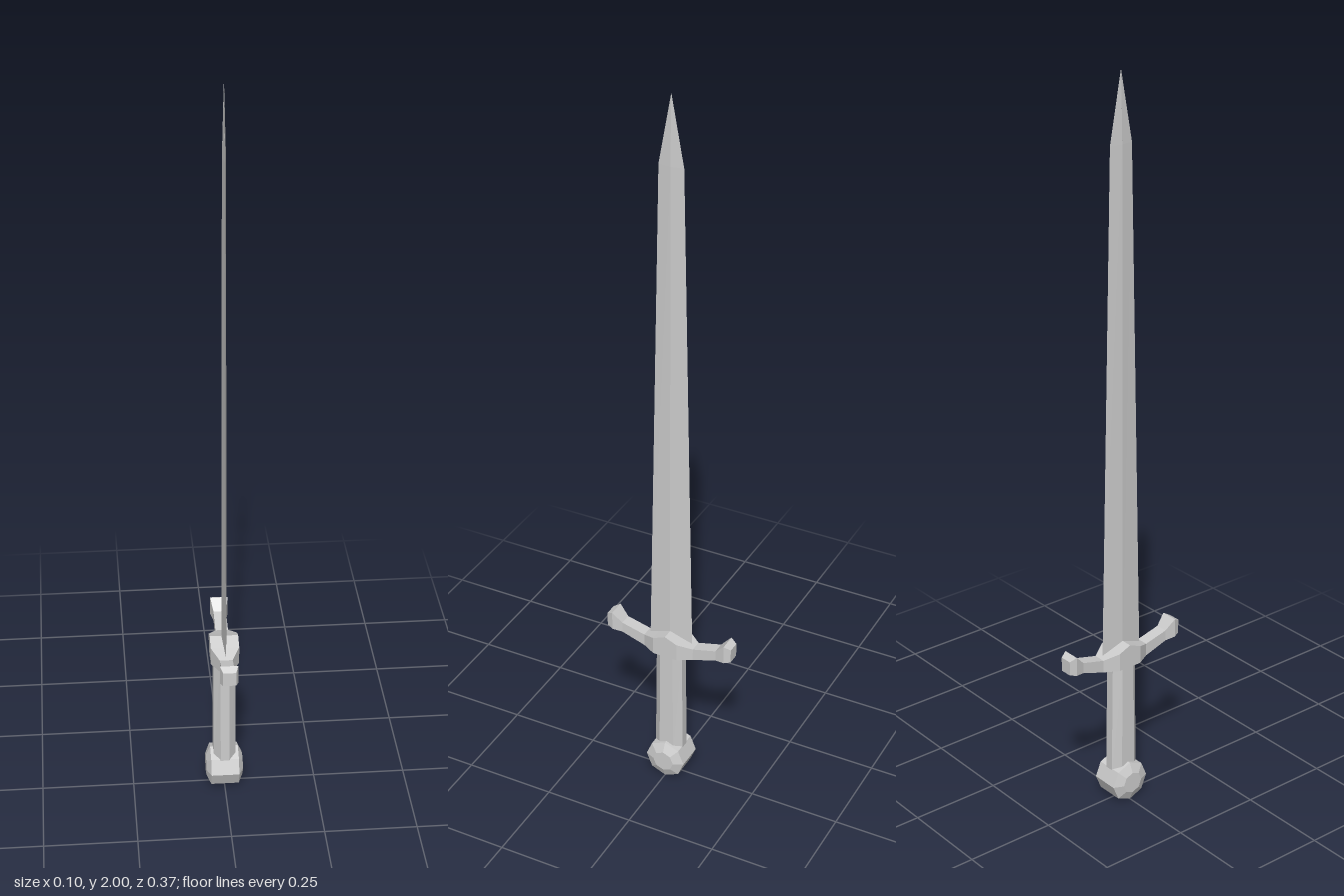
import * as THREE from 'three';

const material = new THREE.MeshStandardMaterial({ color: 0xcccccc, flatShading: true });

// Joins equal-sized rings of [x, y, z] points, each counter-clockwise about the loft direction, and caps both ends.
function loft(rings) {
  const n = rings[0].length, pos = [];
  const tri = (a, b, c) => pos.push(...a, ...b, ...c);
  for (let i = 0; i < rings.length - 1; i++) {
    for (let j = 0; j < n; j++) {
      const k = (j + 1) % n, p = rings[i], q = rings[i + 1];
      tri(p[j], p[k], q[k]);
      tri(p[j], q[k], q[j]);
    }
  }
  const first = rings[0], last = rings[rings.length - 1];
  for (let j = 1; j < n - 1; j++) {
    tri(first[0], first[j + 1], first[j]);
    tri(last[0], last[j], last[j + 1]);
  }
  const geometry = new THREE.BufferGeometry();
  geometry.setAttribute('position', new THREE.Float32BufferAttribute(pos, 3));
  geometry.computeVertexNormals();
  return geometry;
}

export function createModel() {
  const group = new THREE.Group();
  group.name = 'sword';
  const add = (name, geometry) => {
    const mesh = new THREE.Mesh(geometry, material);
    mesh.name = name;
    group.add(mesh);
  };

  // Blade: diamond section, [height, half width, half thickness]
  const blade = [[0.43, 0.063, 0.007], [1.82, 0.034, 0.005], [2, 0.0005, 0.0005]];
  add('blade', loft(blade.map(([y, w, t]) => [[0, y, w], [t, y, 0], [0, y, -w], [-t, y, 0]])));

  // Crossguard: [z, half depth, bottom, top], mirrored about the centre
  const half = [
    [0.035, 0.038, 0.41, 0.46],
    [0.073, 0.017, 0.41, 0.445],
    [0.14, 0.017, 0.432, 0.462],
    [0.167, 0.024, 0.437, 0.49],
    [0.185, 0.017, 0.441, 0.48],
  ];
  const guard = [
    ...half.map(([z, ...rest]) => [-z, ...rest]).reverse(),
    [0, 0.038, 0.41, 0.475],
    ...half,
  ];
  add('crossguard', loft(guard.map(([z, d, lo, hi]) => [[-d, lo, z], [d, lo, z], [d, hi, z], [-d, hi, z]])));

  // Grip: slightly tapered, eight sided
  const grip = [[0.09, 1.04], [0.42, 0.94]];
  const corners = [[0.012, 0.04], [0.03, 0.02], [0.03, -0.02], [0.012, -0.04]];
  const outline = [...corners, ...corners.map(([x, z]) => [-x, -z])];
  add('grip', loft(grip.map(([y, s]) => outline.map(([x, z]) => [x, y, z * s]))));

  // Pommel: bevelled eight sided disc lying across x
  const profile = [[0, -0.05], [0.03, -0.05], [0.057, -0.038], [0.057, 0.038], [0.03, 0.05], [0, 0.05]];
  const pommel = new THREE.LatheGeometry(profile.map(([r, h]) => new THREE.Vector2(r, h)), 8);
  pommel.rotateZ(Math.PI / 2).translate(0, 0.057, 0);
  add('pommel', pommel);

  return group;
}
